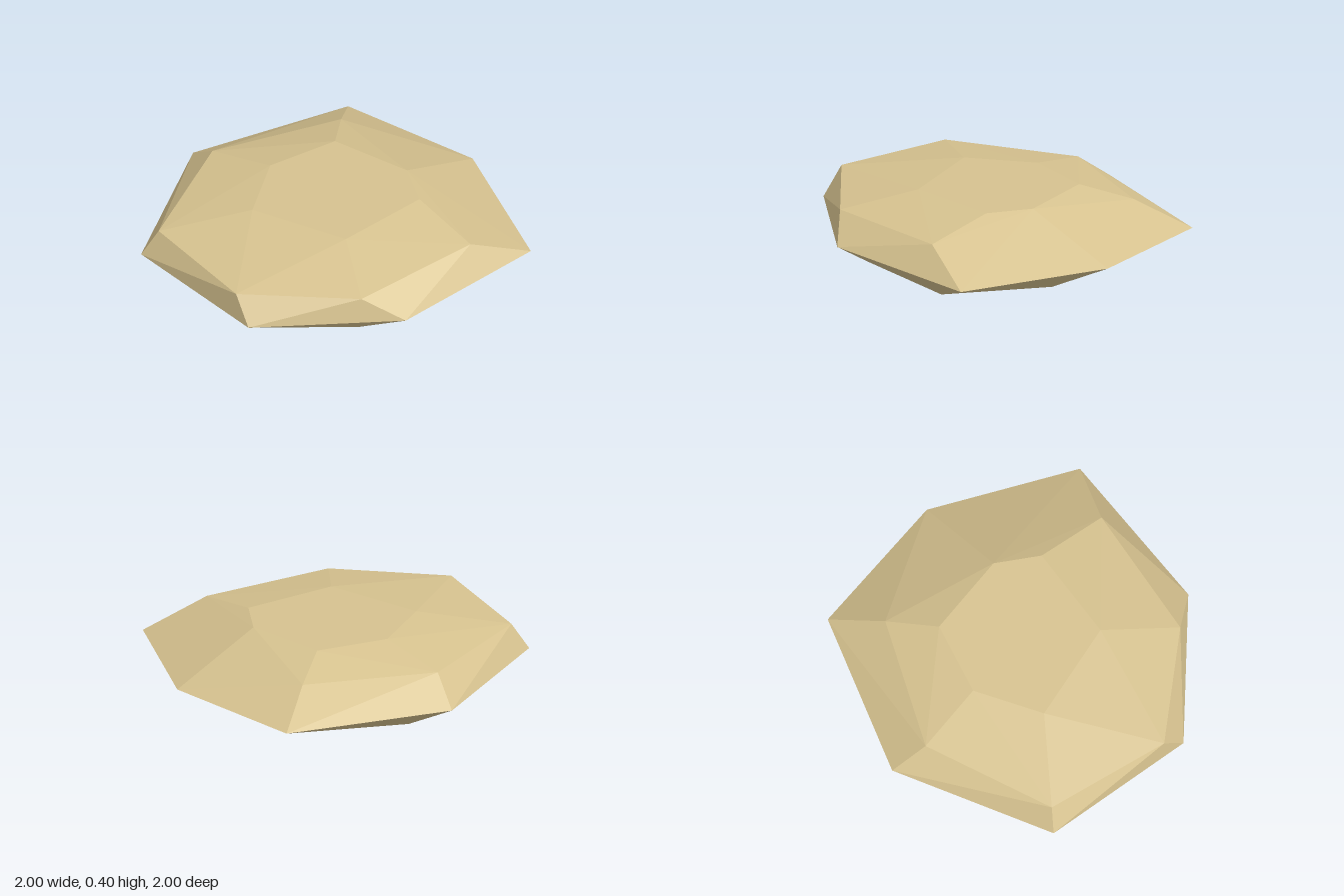
import * as THREE from 'three';
import { ConvexGeometry } from 'three/addons/geometries/ConvexGeometry.js';

// Each ring lists the corners [x, y, z] of one level of the stone
const base = [
  [0.65, 0, -0.34], [0.05, 0, -0.69], [-0.62, 0, -0.49], [-0.78, 0, 0.08],
  [-0.41, 0, 0.62], [0.26, 0, 0.77], [0.65, 0, 0.27],
];
const girdle = [
  [-0.01, 0.17, -1], [0.9, 0.16, -0.65], [1, 0.17, 0.2], [0.6, 0.155, 1],
  [-0.37, 0.18, 0.93], [-1, 0.17, 0.31], [-0.9, 0.17, -0.59],
];
const shoulder = [
  [-0.07, 0.32, -0.8], [0.63, 0.32, -0.46], [0.26, 0.32, 0.85],
  [-0.52, 0.315, 0.73], [-0.97, 0.33, 0.19], [-0.82, 0.32, -0.53],
];
const crown = [
  [-0.03, 0.4, -0.4], [0.38, 0.4, -0.28], [0.45, 0.4, 0.2],
  [0.3, 0.4, 0.43], [-0.25, 0.4, 0.37], [-0.4, 0.4, -0.2],
];

export function createModel() {
  const sandstone = new THREE.MeshStandardMaterial({ color: 0xd6c28f, flatShading: true });
  sandstone.name = 'sandstone';

  // Faceted flat stone: the hull around all four rings
  const corners = [base, girdle, shoulder, crown].flat().map((p) => new THREE.Vector3(...p));
  const stone = new THREE.Mesh(new ConvexGeometry(corners), sandstone);
  stone.name = 'flatStone';

  const group = new THREE.Group();
  group.name = 'rock';
  group.add(stone);
  return group;
}
